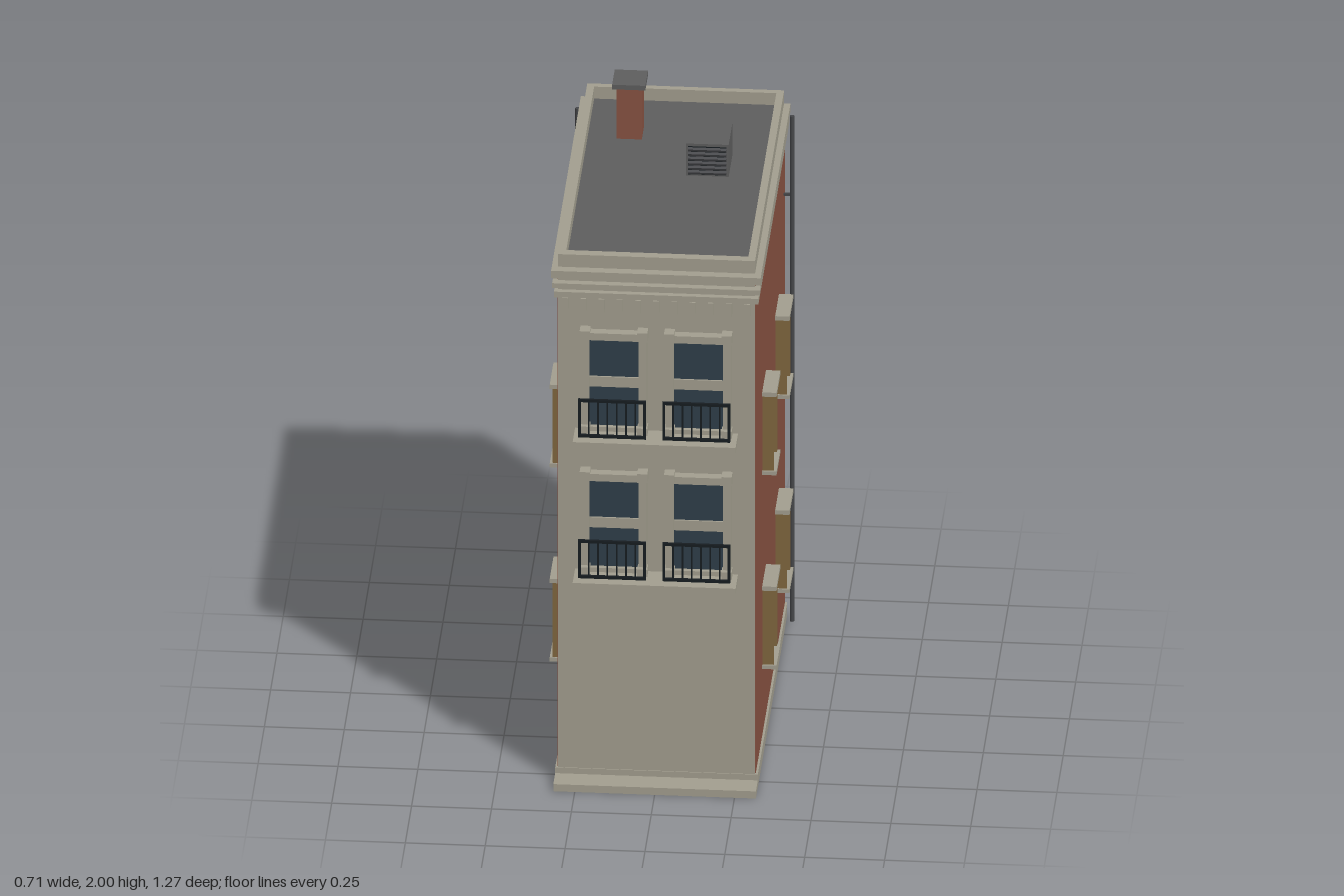
import * as THREE from 'three';

const mat = (name, color) => {
  const m = new THREE.MeshStandardMaterial({ color });
  m.name = name;
  return m;
};

export function createModel() {
  const brick = mat('brick', 0x885342);
  const stone = mat('stone', 0xa39f8f);
  const roofGrey = mat('roofGrey', 0x5e5e5e);
  const glass = mat('glass', 0x2f3e4a);
  const wood = mat('wood', 0x80673f);
  const iron = mat('iron', 0x161c20);
  const pipeGrey = mat('pipeGrey', 0x46474a);

  const model = new THREE.Group();
  model.name = 'townhouse';

  // Box given by its minimum and maximum on each axis
  const box = (parent, name, material, x0, x1, y0, y1, z0, z1) => {
    const mesh = new THREE.Mesh(new THREE.BoxGeometry(x1 - x0, y1 - y0, z1 - z0), material);
    mesh.position.set((x0 + x1) / 2, (y0 + y1) / 2, (z0 + z1) / 2);
    mesh.name = name;
    parent.add(mesh);
    return mesh;
  };
  const group = (name, x = 0, y = 0, z = 0) => {
    const g = new THREE.Group();
    g.name = name;
    g.position.set(x, y, z);
    model.add(g);
    return g;
  };

  // Walls, base and front step
  box(model, 'brickWalls', brick, -0.31, 0.31, 0.02, 1.78, -0.627, 0.53);
  box(model, 'base', stone, -0.317, 0.317, 0, 0.045, -0.634, 0.54);
  box(model, 'frontStep', stone, -0.317, 0.317, 0, 0.025, 0.53, 0.615);
  box(model, 'frontFacade', stone, -0.308, 0.308, 0.04, 1.78, 0.52, 0.537);

  // Stepped cornice on front and sides
  [[1.705, 1.725, 0.32, 0.555], [1.74, 1.757, 0.325, 0.56], [1.777, 1.803, 0.328, 0.565]]
    .forEach(([y0, y1, x, z]) => box(model, 'cornice', stone, -x, x, y0, y1, -0.622, z));

  // Dentils below the cornice
  for (let i = 0; i < 11; i++) {
    const x = -0.285 + i * 0.057;
    box(model, 'dentil', stone, x - 0.009, x + 0.009, 1.66, 1.706, 0.53, 0.56);
  }

  // Hollow parapet around the flat roof
  const rect = (path, x, z0, z1) => path.moveTo(-x, -z0).lineTo(x, -z0).lineTo(x, -z1).lineTo(-x, -z1).closePath();
  const outline = new THREE.Shape();
  const opening = new THREE.Path();
  rect(outline, 0.308, 0.535, -0.626);
  rect(opening, 0.285, 0.505, -0.605);
  outline.holes.push(opening);
  const parapet = new THREE.Mesh(
    new THREE.ExtrudeGeometry(outline, { depth: 0.05, bevelEnabled: false }), stone);
  parapet.rotation.x = -Math.PI / 2;
  parapet.position.y = 1.797;
  parapet.name = 'parapet';
  model.add(parapet);
  box(model, 'roof', roofGrey, -0.29, 0.29, 1.78, 1.805, -0.61, 0.51);

  // Chimney
  const chimney = group('chimney', -0.155, 0, -0.38);
  box(chimney, 'chimneyStack', brick, -0.04, 0.04, 1.79, 1.986, -0.04, 0.04);
  box(chimney, 'chimneyCap', roofGrey, -0.052, 0.052, 1.984, 2, -0.052, 0.052);

  // Rooftop ventilation unit with louvres
  const unit = group('ventUnit', 0.108, 0, -0.186);
  box(unit, 'ventBox', roofGrey, -0.067, 0.067, 1.79, 1.917, -0.08, 0.077);
  box(unit, 'ventGrille', iron, -0.06, 0.06, 1.81, 1.908, 0.076, 0.079);
  for (let i = 0; i < 6; i++) {
    const y = 1.815 + i * 0.016;
    box(unit, 'louvre', pipeGrey, -0.06, 0.06, y, y + 0.009, 0.077, 0.087).rotation.x = 0.4;
  }

  // Drainpipes near the back corners
  for (const s of [-1, 1]) {
    const pipe = new THREE.Mesh(new THREE.CylinderGeometry(0.007, 0.007, 1.775, 12), pipeGrey);
    pipe.position.set(s * 0.336, 0.8925, -0.585);
    pipe.name = 'drainpipe';
    model.add(pipe);
    for (const y of [0.3, 0.9, 1.5]) {
      box(model, 'pipeBracket', pipeGrey, s * 0.321 - 0.013, s * 0.321 + 0.013, y, y + 0.008, -0.589, -0.581);
    }
  }

  // Side windows: deep wooden jambs with stone head and sill
  for (const s of [-1, 1]) for (const z of [0.2, -0.318]) for (const y of [0.28, 0.962]) {
    const w = group('sideWindow', s * 0.31, y, z);
    w.rotation.y = s * Math.PI / 2;
    box(w, 'pane', glass, -0.062, 0.062, 0.012, 0.278, 0, 0.004);
    for (const e of [-1, 1]) {
      box(w, 'jamb', wood, e * 0.063 - 0.007, e * 0.063 + 0.007, 0.012, 0.278, 0, 0.036);
    }
    box(w, 'sill', stone, -0.076, 0.076, 0, 0.013, 0, 0.045);
    box(w, 'head', stone, -0.076, 0.076, 0.275, 0.29, 0, 0.045);
  }

  // Plain flush windows on the back wall
  for (const y of [0.28, 0.962]) {
    box(model, 'backFrame', brick, -0.1, 0.1, y, y + 0.29, -0.631, -0.62);
    box(model, 'backPane', glass, -0.092, 0.092, y + 0.008, y + 0.282, -0.633, -0.625);
  }

  // Front floors: shared balcony slab, two sash windows, two railings
  for (const y of [0.725, 1.22]) {
    const floor = group('balconyFloor', 0, y, 0);
    box(floor, 'balconySlab', stone, -0.255, 0.255, 0, 0.02, 0.53, 0.635);
    for (const s of [-1, 1]) {
      const w = new THREE.Group();
      w.name = 'frontWindow';
      w.position.x = s * 0.132;
      floor.add(w);
      box(w, 'pane', glass, -0.078, 0.078, 0.03, 0.345, 0.535, 0.54);
      box(w, 'meetingRail', stone, -0.078, 0.078, 0.172, 0.207, 0.535, 0.546);
      box(w, 'windowSill', stone, -0.078, 0.078, 0.02, 0.035, 0.53, 0.555);
      box(w, 'lintel', stone, -0.106, 0.106, 0.345, 0.37, 0.53, 0.567);
      for (const e of [-1, 1]) {
        const x = e * 0.09;
        box(w, 'pilaster', stone, x - 0.013, x + 0.013, 0.02, 0.35, 0.53, 0.56);
        box(w, 'capBlock', stone, x - 0.016, x + 0.016, 0.355, 0.38, 0.53, 0.576);
        box(w, 'footBlock', stone, x - 0.016, x + 0.016, 0.02, 0.045, 0.53, 0.576);
      }
      // Iron railing
      box(w, 'topRail', iron, -0.106, 0.106, 0.162, 0.171, 0.627, 0.636);
      box(w, 'bottomRail', iron, -0.106, 0.106, 0.038, 0.047, 0.627, 0.636);
      for (let i = 0; i < 8; i++) {
        const x = -0.102 + i * (0.204 / 7);
        const r = i % 7 === 0 ? 0.004 : 0.0025;
        box(w, 'baluster', iron, x - r, x + r, 0.04, 0.168, 0.6315 - r, 0.6315 + r);
      }
    }
  }
  return model;
}
